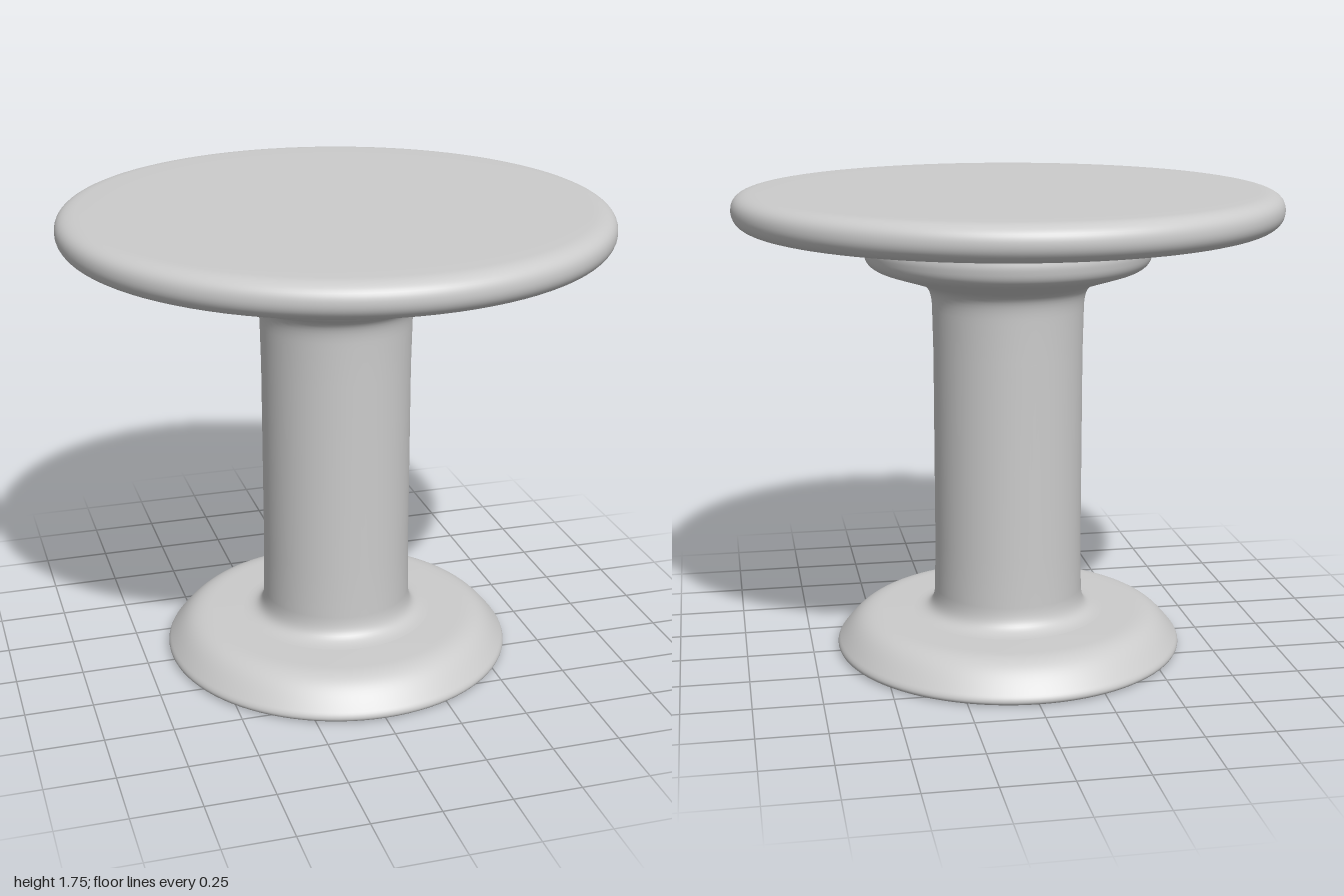
import * as THREE from 'three';

const material = new THREE.MeshStandardMaterial({ color: 0xcccccc, side: THREE.DoubleSide });

// Turn a profile, drawn from bottom to top, around the y axis.
function turned(name, draw) {
  const path = new THREE.Path();
  draw(path);
  const mesh = new THREE.Mesh(new THREE.LatheGeometry(path.getPoints(12), 96), material);
  mesh.name = name;
  return mesh;
}

export function createModel() {
  const table = new THREE.Group();
  table.name = 'pedestalTable';

  // Foot: flat underside, thin rounded rim, domed shoulder
  table.add(turned('base', p => {
    p.moveTo(0, 0);
    p.lineTo(0.62, 0);
    p.bezierCurveTo(0.65, 0, 0.665, 0.015, 0.645, 0.04);
    p.bezierCurveTo(0.59, 0.11, 0.56, 0.138, 0.48, 0.138);
    p.lineTo(0.36, 0.14);
  }));

  // Shaft: flared into the foot and into the collar
  table.add(turned('column', p => {
    p.moveTo(0.36, 0.14);
    p.bezierCurveTo(0.3, 0.142, 0.282, 0.165, 0.28, 0.23);
    p.lineTo(0.277, 0.42);
    p.lineTo(0.277, 1.14);
    p.lineTo(0.28, 1.29);
    p.bezierCurveTo(0.28, 1.385, 0.295, 1.4, 0.36, 1.42);
  }));

  // Collar: sloped underside, bulging band, short neck under the top
  table.add(turned('collar', p => {
    p.moveTo(0.36, 1.42);
    p.lineTo(0.46, 1.452);
    p.bezierCurveTo(0.505, 1.466, 0.525, 1.48, 0.529, 1.52);
    p.bezierCurveTo(0.533, 1.545, 0.525, 1.55, 0.527, 1.57);
    p.bezierCurveTo(0.53, 1.6, 0.545, 1.608, 0.59, 1.609);
  }));

  // Round top with a soft edge
  table.add(turned('tabletop', p => {
    p.moveTo(0.59, 1.609);
    p.lineTo(0.7, 1.611);
    p.lineTo(0.92, 1.617);
    p.bezierCurveTo(0.97, 1.618, 1, 1.645, 1, 1.683);
    p.bezierCurveTo(1, 1.725, 0.97, 1.747, 0.91, 1.747);
    p.lineTo(0.8, 1.75);
    p.lineTo(0, 1.75);
  }));

  return table;
}
